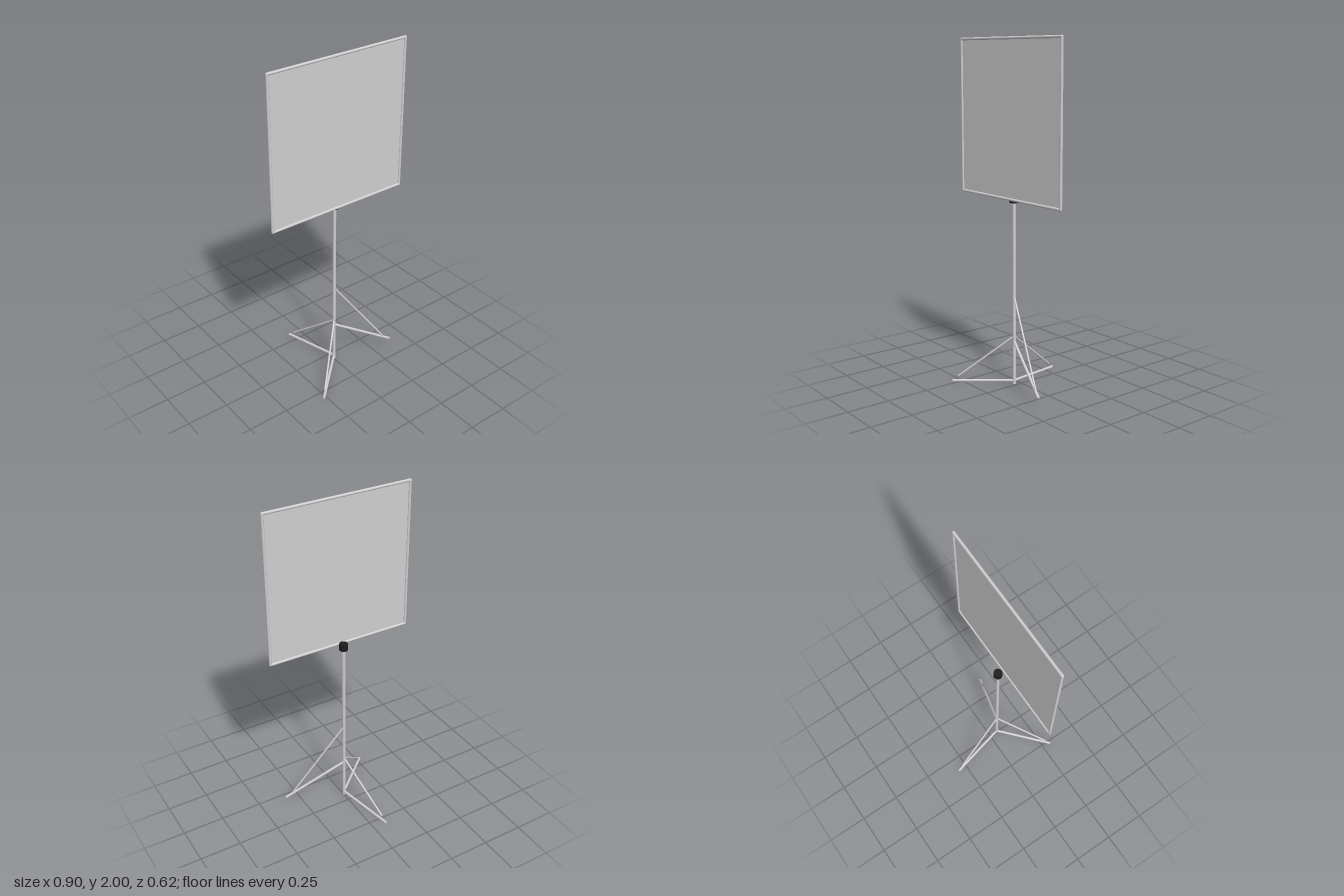
import * as THREE from 'three';

const metal = new THREE.MeshStandardMaterial({ color: 0xcecece });
metal.name = 'light grey metal';
const sheet = new THREE.MeshStandardMaterial({ color: 0xcfcfcf, side: THREE.DoubleSide });
sheet.name = 'light grey sheet';
const black = new THREE.MeshStandardMaterial({ color: 0x1c1c1c });
black.name = 'black plastic';

const POLE_Z = 0.052;
const PANEL_Z = 0.09;

// Round bar between two points
function bar(name, a, b, radius, material = metal) {
  const from = new THREE.Vector3(...a);
  const to = new THREE.Vector3(...b);
  const dir = to.clone().sub(from);
  const mesh = new THREE.Mesh(new THREE.CylinderGeometry(radius, radius, dir.length(), 20), material);
  mesh.position.copy(from).add(to).multiplyScalar(0.5);
  mesh.quaternion.setFromUnitVectors(new THREE.Vector3(0, 1, 0), dir.normalize());
  mesh.name = name;
  return mesh;
}

export function createModel() {
  const model = new THREE.Group();
  model.name = 'panelStand';

  // Pole and the clamp that holds the panel
  model.add(bar('pole', [0, 0.01, POLE_Z], [0, 1.1, POLE_Z], 0.01));
  model.add(bar('clamp', [0, 1.083, POLE_Z], [0, 1.123, POLE_Z], 0.025, black));

  // Panel frame with rounded corners
  const frame = new THREE.Group();
  frame.name = 'frame';
  const x = 0.443, low = 1.106, high = 1.992, r = 0.008;
  for (const y of [low, high]) {
    frame.add(bar('frameRail', [-x, y, PANEL_Z], [x, y, PANEL_Z], r));
    for (const side of [-1, 1]) {
      const corner = new THREE.Mesh(new THREE.SphereGeometry(r, 16, 12), metal);
      corner.position.set(side * x, y, PANEL_Z);
      corner.name = 'frameCorner';
      frame.add(corner);
    }
  }
  for (const side of [-1, 1]) {
    frame.add(bar('frameSide', [side * x, low, PANEL_Z], [side * x, high, PANEL_Z], r));
  }
  model.add(frame);

  // Thin sheet stretched in the frame
  const panel = new THREE.Mesh(new THREE.PlaneGeometry(2 * x, high - low), sheet);
  panel.position.set(0, (low + high) / 2, PANEL_Z);
  panel.name = 'panel';
  model.add(panel);

  // Three legs 120 degrees apart; the first is set higher up the pole
  const legs = [
    { angle: 17, leg: [0.268, 0.059], brace: [0.537, 0.078], braceReach: 0.336 },
    { angle: 137, leg: [0.03, 0.008], brace: [0.3, 0.04], braceReach: 0.333 },
    { angle: 257, leg: [0.03, 0.008], brace: [0.3, 0.04], braceReach: 0.333 },
  ];
  for (const { angle, leg, brace, braceReach } of legs) {
    const a = THREE.MathUtils.degToRad(angle);
    const at = (reach, y) => [Math.cos(a) * reach, y, POLE_Z + Math.sin(a) * reach];
    const group = new THREE.Group();
    group.name = 'tripodLeg';
    group.add(bar('leg', at(0, leg[0]), at(0.37, leg[1]), 0.008));
    group.add(bar('brace', at(0, brace[0]), at(braceReach, brace[1]), 0.0055));
    model.add(group);
  }
  return model;
}
